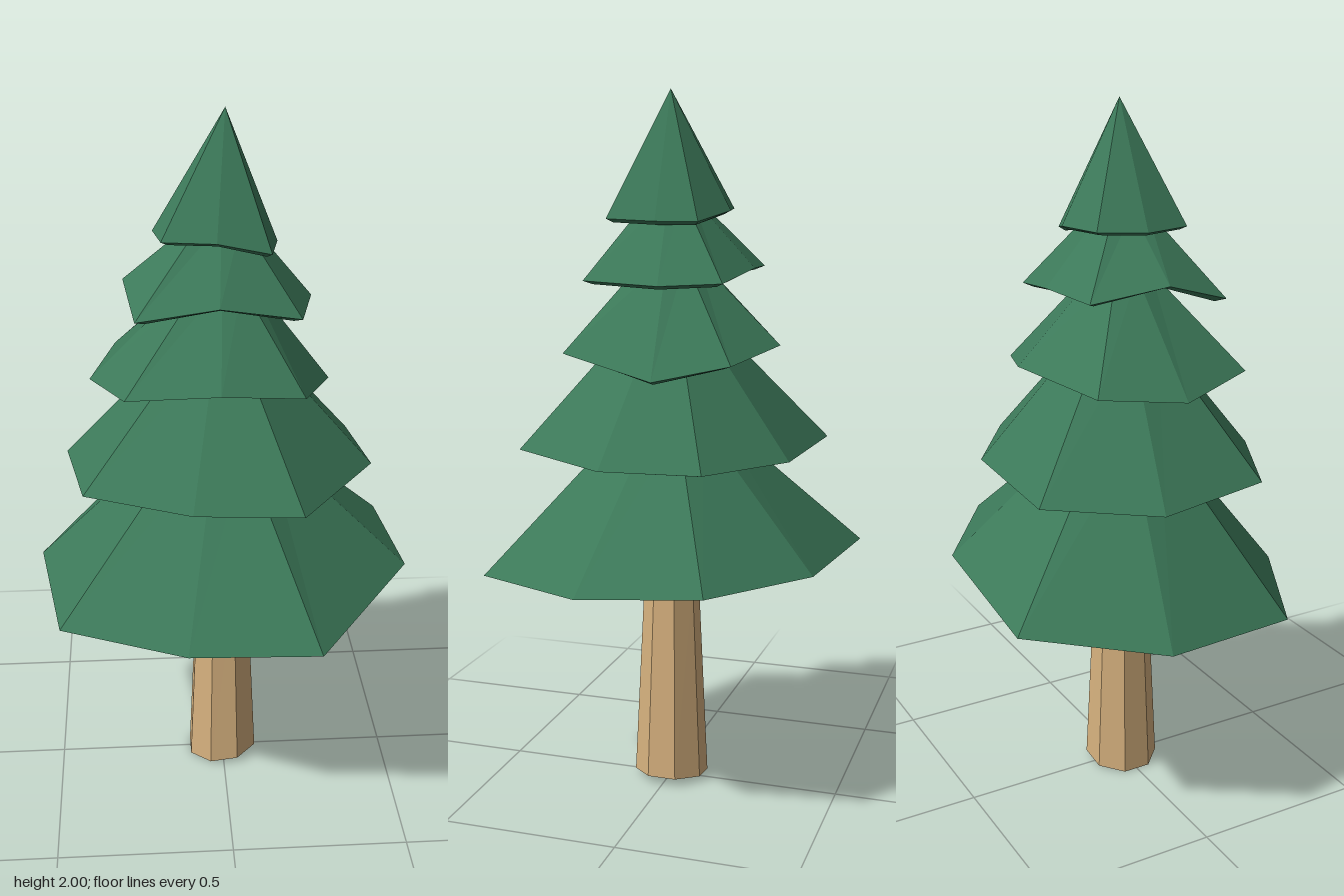
import * as THREE from 'three';

const foliage = new THREE.MeshStandardMaterial({ color: 0x3c7959 });
foliage.name = 'pine green';
const bark = new THREE.MeshStandardMaterial({ color: 0xd6b17e });
bark.name = 'light wood';

// Faceted skin over rings of equal length, listed from the top centre, over the outside, to the bottom centre
function loft(rings) {
  const pos = [];
  const tri = (a, b, c) => {
    if (a.equals(b) || b.equals(c) || a.equals(c)) return;
    for (const p of [a, b, c]) pos.push(p.x, p.y, p.z);
  };
  for (let r = 0; r < rings.length - 1; r++) {
    const a = rings[r], b = rings[r + 1], n = a.length;
    for (let i = 0; i < n; i++) {
      const j = (i + 1) % n;
      tri(a[i], a[j], b[j]);
      tri(a[i], b[j], b[i]);
    }
  }
  const g = new THREE.BufferGeometry();
  g.setAttribute('position', new THREE.Float32BufferAttribute(pos, 3));
  g.computeVertexNormals();
  return g;
}

const point = (x, y, z) => Array.from({ length: 8 }, () => new THREE.Vector3(x, y, z));

// Hollow skirt of branches: narrow top, uneven rim, shallow cavity below
function tierGeometry({ rim, top, neck }) {
  const outer = rim.map(p => new THREE.Vector3(...p));
  const mid = outer.reduce((s, p) => s + p.y, 0) / outer.length;
  const crown = outer.map(p => new THREE.Vector3(p.x * neck, top, p.z * neck));
  const lip = outer.map(p => new THREE.Vector3(p.x * 0.89, p.y - 0.01, p.z * 0.89));
  const roof = outer.map(p => new THREE.Vector3(p.x * 0.65, mid + (p.y - mid) * 0.65 + 0.06, p.z * 0.65));
  const rings = [crown, outer, lip, roof, point(0, mid + 0.06, 0)];
  // a neck of zero ends in a pointed tip
  if (neck === 0) rings[0] = point(0.008, top, 0);
  else rings.unshift(point(0, top, 0));
  return loft(rings);
}

const tiers = [
  { name: 'lowestBranches', top: 1.08, neck: 0.23, rim: [
    [-0.336, 0.683, -0.495], [0.187, 0.705, -0.46], [0.494, 0.71, -0.243], [0.532, 0.69, 0.096],
    [0.241, 0.638, 0.49], [-0.12, 0.622, 0.45], [-0.474, 0.61, 0.269], [-0.54, 0.635, -0.145]] },
  { name: 'lowerBranches', top: 1.36, neck: 0.26, rim: [
    [-0.28, 1.005, -0.398], [0.138, 1.005, -0.378], [0.388, 1.005, -0.205], [0.422, 1.007, 0.068],
    [0.195, 1.005, 0.39], [-0.1, 1.005, 0.364], [-0.394, 1.003, 0.22], [-0.448, 0.988, -0.116]] },
  { name: 'middleBranches', top: 1.54, neck: 0.24, rim: [
    [0.003, 1.305, -0.317], [0.227, 1.27, -0.237], [0.307, 1.23, -0.04], [0.207, 1.285, 0.249],
    [-0.02, 1.31, 0.286], [-0.273, 1.285, 0.237], [-0.37, 1.257, -0.004], [-0.299, 1.28, -0.234]] },
  { name: 'upperBranches', top: 1.71, neck: 0.24, rim: [
    [-0.221, 1.51, -0.214], [-0.014, 1.515, -0.237], [0.2, 1.485, -0.205], [0.25, 1.478, -0.04],
    [0.2, 1.485, 0.19], [-0.02, 1.527, 0.222], [-0.241, 1.485, 0.19], [-0.27, 1.545, -0.004]] },
  { name: 'treeTop', top: 2, neck: 0, rim: [
    [-0.132, 1.675, -0.145], [0.011, 1.672, -0.174], [0.141, 1.645, -0.119], [0.149, 1.645, 0.001],
    [0.121, 1.65, 0.151], [-0.023, 1.68, 0.151], [-0.167, 1.675, 0.108], [-0.187, 1.672, -0.022]] },
];

// Eight-sided trunk, slightly waisted, with a slanted foot
function trunkGeometry() {
  const ring = (r, y, slant = 0) => Array.from({ length: 8 }, (_, i) => {
    const t = (i + 0.5) * Math.PI / 4;
    const x = r * Math.cos(t), z = r * Math.sin(t);
    return new THREE.Vector3(x, y + slant * x, z);
  });
  return loft([point(0, 0.74, 0), ring(0.095, 0.74), ring(0.08, 0.6), ring(0.108, 0.012, 0.12), point(0, 0.012, 0)]);
}

export function createModel() {
  const tree = new THREE.Group();
  tree.name = 'pineTree';
  const add = (name, geometry, material) => {
    const mesh = new THREE.Mesh(geometry, material);
    mesh.name = name;
    tree.add(mesh);
  };
  add('trunk', trunkGeometry(), bark);
  for (const t of tiers) add(t.name, tierGeometry(t), foliage);
  return tree;
}
